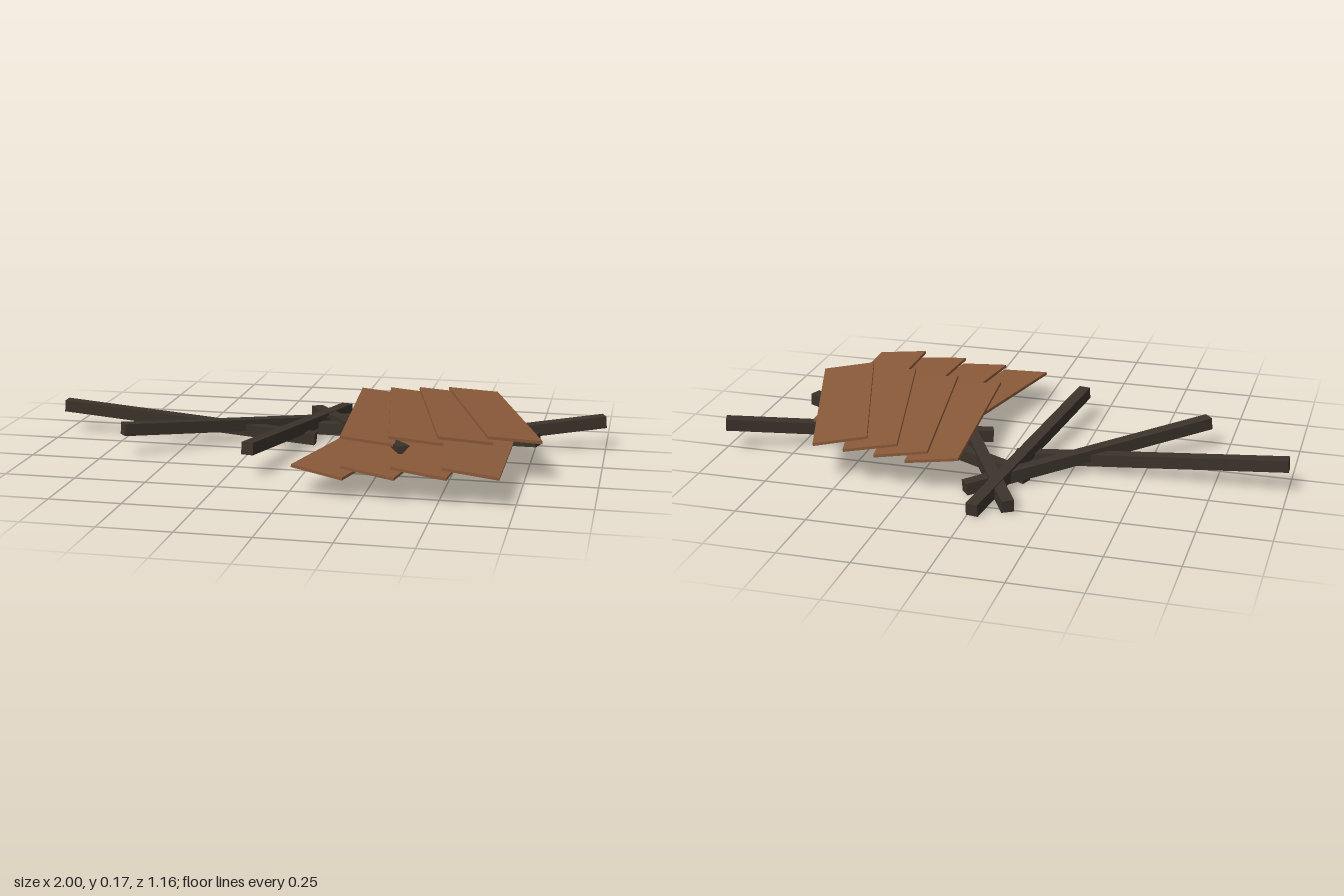
import * as THREE from 'three';

export function createModel() {
  const model = new THREE.Group();
  const darkWood = new THREE.MeshStandardMaterial({ color: 0x3b332b });
  darkWood.name = 'darkWood';
  const plankWood = new THREE.MeshStandardMaterial({ color: 0x8b5a3a });
  plankWood.name = 'plankWood';

  // Fallen beams: raised end (x, z) to the end resting on the ground (x, z)
  const thick = 0.043, highY = 0.103, lowY = 0.024;
  const beams = [
    [-0.998, -0.107, -0.042, -0.107],
    [-0.675, 0.2, 0.057, -0.412],
    [-0.178, 0.367, -0.017, -0.578],
    [0.352, 0.305, -0.125, -0.52],
    [0.778, 0.047, -0.123, -0.268],
    [0.992, -0.273, 0.092, 0.06],
  ];
  const beamGroup = new THREE.Group();
  beamGroup.name = 'beams';
  beams.forEach(([x0, z0, x1, z1], i) => {
    const a = new THREE.Vector3(x0, highY, z0);
    const b = new THREE.Vector3(x1, lowY, z1);
    const beam = new THREE.Mesh(new THREE.BoxGeometry(thick, thick, a.distanceTo(b)), darkWood);
    beam.name = `beam${i + 1}`;
    beam.position.copy(a).add(b).multiplyScalar(0.5);
    beam.lookAt(b);
    beamGroup.add(beam);
  });
  model.add(beamGroup);

  // Two fans of overlapping planks, each plank rolled onto its neighbour
  const deg = Math.PI / 180;
  const plankGeometry = new THREE.BoxGeometry(0.187, 0.01, 0.73);
  function plankFan(name, z, y, firstYaw, yawStep) {
    const fan = new THREE.Group();
    fan.name = name;
    for (let i = 0; i < 4; i++) {
      const plank = new THREE.Mesh(plankGeometry, plankWood);
      plank.name = `plank${i + 1}`;
      plank.position.set(0.19 + i * 0.139, y + i * 0.009, z);
      plank.rotation.set(0, (firstYaw + i * yawStep) * deg, -7 * deg);
      fan.add(plank);
    }
    model.add(fan);
  }
  plankFan('upperPlanks', -0.087, 0.127, 4.5, 4.5);
  plankFan('lowerPlanks', 0.198, 0.088, -14, 4.67);

  return model;
}
